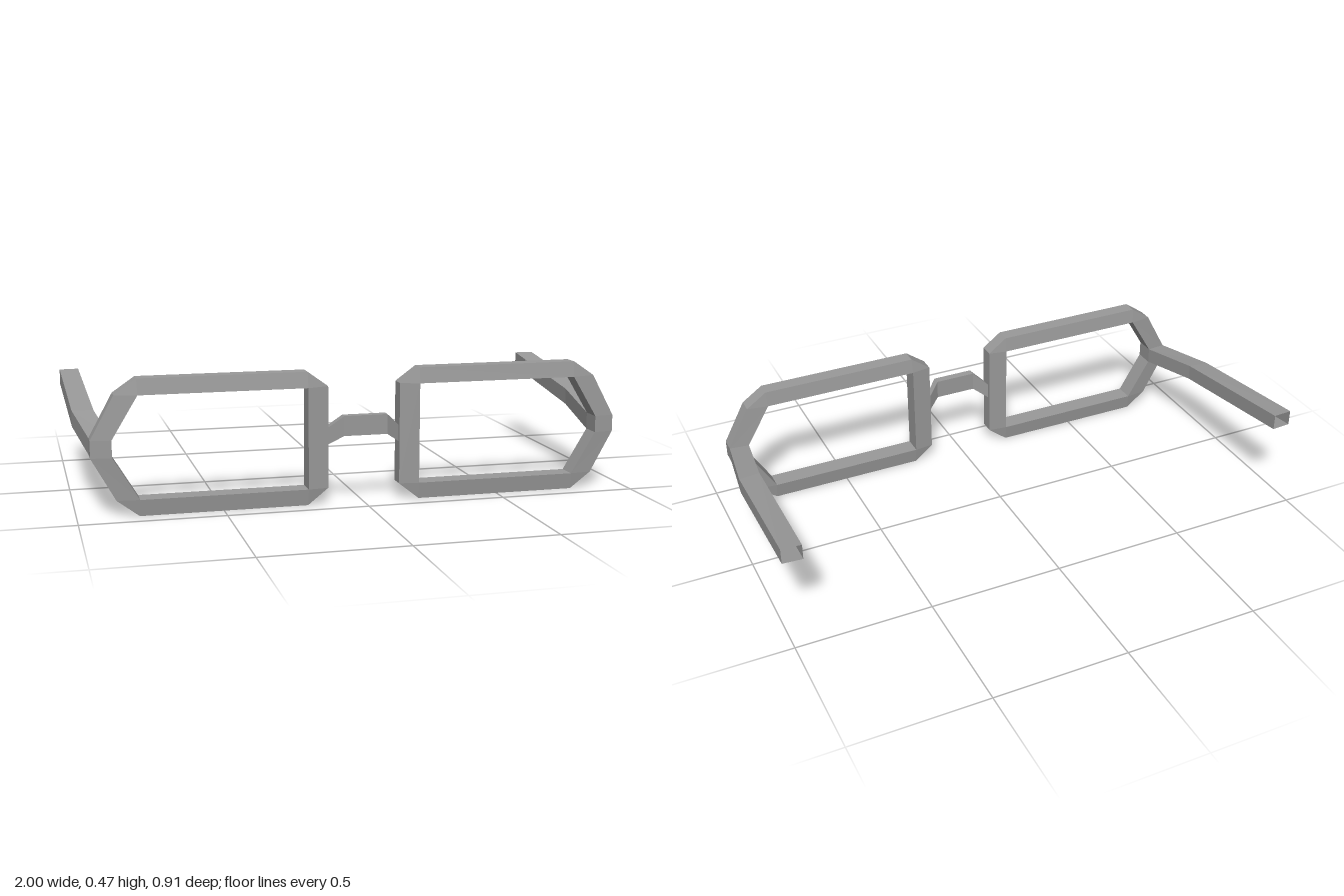
import * as THREE from 'three';

const frameGrey = new THREE.MeshStandardMaterial({ color: 0x999999, flatShading: true, side: THREE.DoubleSide });
frameGrey.name = 'frame grey';

// Skin four-cornered sections, given clockwise when looking along the path.
// side = -1 mirrors the result across x = 0.
function loft(name, sections, side = 1, closed = false) {
  const pos = [];
  const tri = (a, b, c) => {
    const [p, q, r] = [a, b, c].map(([x, y, z]) => new THREE.Vector3(x * side, y, z));
    if (new THREE.Triangle(p, q, r).getArea() < 1e-6) return;
    for (const v of side > 0 ? [p, q, r] : [p, r, q]) pos.push(v.x, v.y, v.z);
  };
  const count = closed ? sections.length : sections.length - 1;
  for (let i = 0; i < count; i++) {
    const s = sections[i], t = sections[(i + 1) % sections.length];
    for (let j = 0; j < 4; j++) {
      const k = (j + 1) % 4;
      tri(s[j], s[k], t[k]);
      tri(s[j], t[k], t[j]);
    }
  }
  const geometry = new THREE.BufferGeometry();
  geometry.setAttribute('position', new THREE.Float32BufferAttribute(pos, 3));
  geometry.computeVertexNormals();
  const mesh = new THREE.Mesh(geometry, frameGrey);
  mesh.name = name;
  return mesh;
}

export function createModel() {
  const group = new THREE.Group();
  group.name = 'glasses';

  // Rim: outer x, outer y, inner x, inner y; corners share an inner point
  const rim = [
    [0.13, 0.42, 0.202, 0.417], [0.203, 0.473, 0.202, 0.417],
    [0.79, 0.473, 0.788, 0.417], [0.867, 0.42, 0.788, 0.417],
    [0.95, 0.268, 0.878, 0.268], [0.95, 0.208, 0.878, 0.208],
    [0.867, 0.058, 0.788, 0.058], [0.79, 0, 0.788, 0.058],
    [0.203, 0, 0.202, 0.058], [0.13, 0.058, 0.202, 0.058],
  ].map(([ox, oy, ix, iy]) => [[ox, oy, 0.433], [ix, iy, 0.441], [ix, iy, 0.369], [ox, oy, 0.377]]);

  // Temple: outer x, outer z, inner x, inner z, bottom y, top y
  const temple = [
    [0.95, 0.377, 0.878, 0.369, 0.208, 0.268],
    [0.988, 0.097, 0.911, 0.105, 0.254, 0.313],
    [1.0, -0.45, 0.928, -0.455, 0.322, 0.38],
  ].map(([ox, oz, ix, iz, b, t]) => [[ox, t, oz], [ox, b, oz], [ix, b, iz], [ix, t, iz]]);

  for (const [label, side] of [['left', 1], ['right', -1]]) {
    group.add(loft(label + 'Rim', rim, side, true));
    group.add(loft(label + 'Temple', temple, side));
  }

  // Bridge: x, bottom y, top y, back z, front z
  const bridge = [
    [-0.132, 0.208, 0.267, 0.39, 0.418], [-0.078, 0.245, 0.316, 0.425, 0.455],
    [0.078, 0.245, 0.316, 0.425, 0.455], [0.132, 0.208, 0.267, 0.39, 0.418],
  ].map(([x, b, t, back, front]) => [[x, t, front], [x, b, front], [x, b, back], [x, t, back]]);
  group.add(loft('bridge', bridge));

  return group;
}
